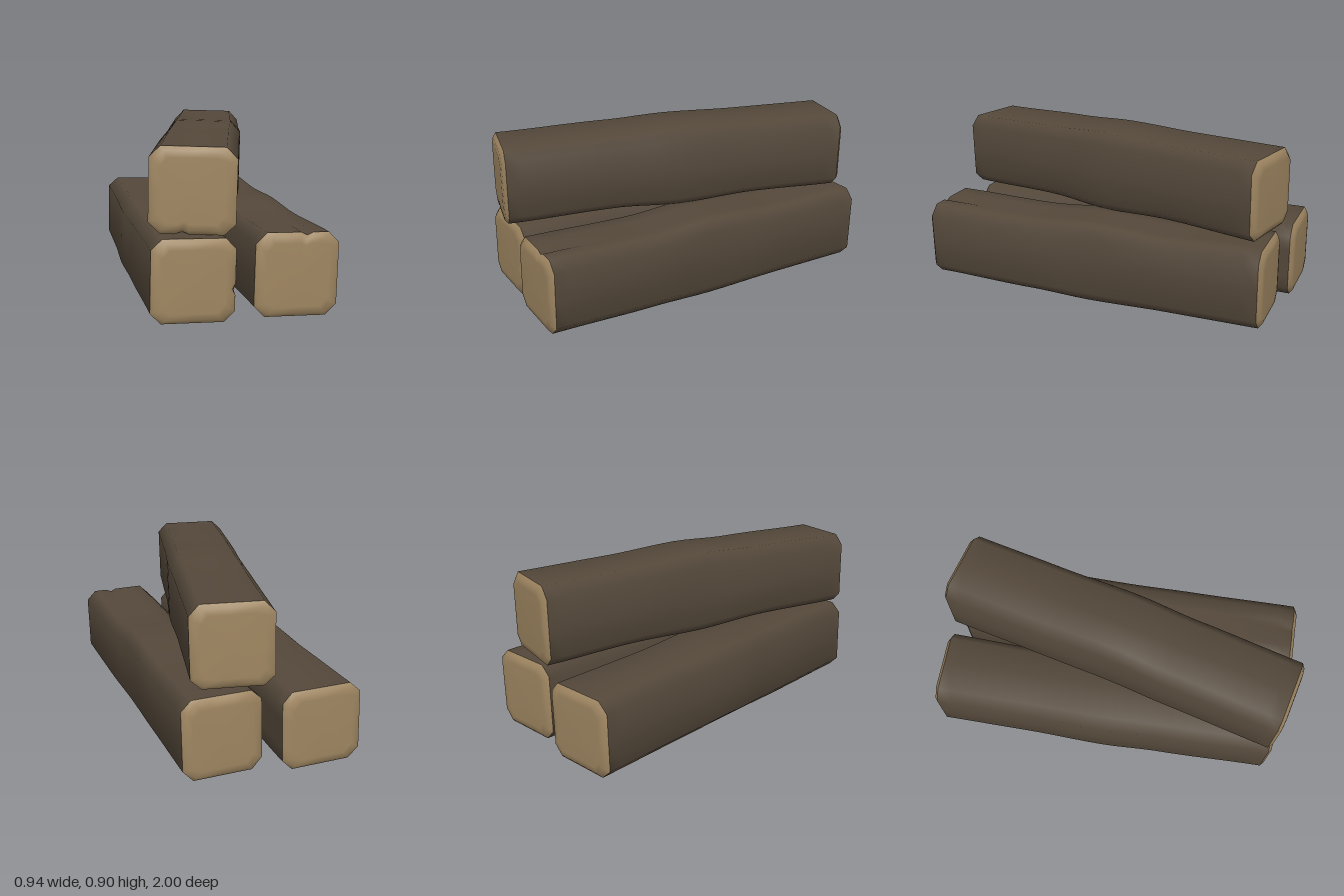
import * as THREE from 'three';

const HALF = 0.205, CORNER = 0.152, END = 0.97, RIM = 0.022;

// Outward swelling of each side at stations along the log
const STATIONS = [-1, -0.46, 0, 0.36, 1];
const SWELL = {
  top: [-0.008, -0.02, -0.002, -0.018, 0],
  bottom: [0.018, 0.02, 0.032, 0.016, 0],
  left: [0, 0.005, 0.015, 0.005, 0],
  right: [0, -0.005, -0.015, -0.003, 0],
};

// Chamfered square, counter-clockwise, with extra points for the split on top
const SECTION = [
  [HALF, -CORNER], [HALF, 0], [HALF, CORNER],
  [CORNER, HALF], [0.075, HALF], [0.045, HALF], [0.015, HALF], [-0.07, HALF], [-CORNER, HALF],
  [-HALF, CORNER], [-HALF, 0], [-HALF, -CORNER],
  [-CORNER, -HALF], [0, -HALF], [CORNER, -HALF],
];

function swell(side, z) {
  const t = THREE.MathUtils.clamp(z / END, -1, 1);
  let i = 0;
  while (i < STATIONS.length - 2 && t > STATIONS[i + 1]) i++;
  const s = THREE.MathUtils.smoothstep(t, STATIONS[i], STATIONS[i + 1]);
  return THREE.MathUtils.lerp(SWELL[side][i], SWELL[side][i + 1], s);
}

// Depth of the drying split near the front end
function groove(x, z) {
  return 0.014 * Math.max(0, 1 - Math.abs(x - 0.045) / 0.03) * THREE.MathUtils.smoothstep(z, 0.55, 0.95);
}

function surfacePoint([x, y], z) {
  const px = x + (x > 0 ? swell('right', z) : swell('left', z)) * x / HALF;
  let py = y + (y > 0 ? swell('top', z) : swell('bottom', z)) * y / HALF;
  if (y === HALF) py -= groove(x, z);
  return [px, py];
}

// Skin closed rings given as [z, scale], running from back to front
function loft(rings) {
  const positions = [], index = [], n = SECTION.length;
  rings.forEach(([z, scale], r) => {
    const cx = (swell('right', z) - swell('left', z)) / 2;
    const cy = (swell('top', z) - swell('bottom', z)) / 2;
    SECTION.forEach((p, i) => {
      const [x, y] = surfacePoint(p, z);
      positions.push(cx + (x - cx) * scale, cy + (y - cy) * scale, z);
      if (r === rings.length - 1) return;
      const a = r * n + i, b = r * n + (i + 1) % n;
      index.push(a, b, b + n, a, b + n, a + n);
    });
  });
  return finish(positions, index);
}

// Thin strip of bare wood lying on the top side; rows are [z, x0, x1]
function splinter(rows) {
  const positions = [], index = [];
  rows.forEach(([z, x0, x1], r) => {
    for (let i = 0; i < 3; i++) {
      const x = THREE.MathUtils.lerp(x0, x1, i / 2);
      const [px, py] = surfacePoint([x, HALF], z);
      positions.push(px, py + 0.004, z);
      if (i === 2 || r === rows.length - 1) continue;
      const a = r * 3 + i;
      index.push(a, a + 1, a + 4, a, a + 4, a + 3);
    }
  });
  return finish(positions, index);
}

function finish(positions, index) {
  const g = new THREE.BufferGeometry();
  g.setAttribute('position', new THREE.Float32BufferAttribute(positions, 3));
  g.setIndex(index);
  g.computeVertexNormals();
  return g;
}

export function createModel() {
  const bark = new THREE.MeshStandardMaterial({ color: 0x54483a });
  bark.name = 'dark bark';
  const wood = new THREE.MeshStandardMaterial({ color: 0xa08762 });
  wood.name = 'cut wood';
  const bareWood = wood;

  // Bark body and rounded sawn ends
  const barkRings = [];
  for (let i = 0; i <= 24; i++) barkRings.push([(END - RIM) * (i / 12 - 1), 1]);
  const frontRings = [[END - RIM, 1], [END - 0.004, 0.9], [END, 0.75], [END, 0]];
  const backRings = frontRings.map(([z, s]) => [-z, s]).reverse();

  const parts = [
    ['bark', loft(barkRings), bark],
    ['frontEnd', loft(frontRings), wood],
    ['backEnd', loft(backRings), wood],
    ['longSplit', splinter([
      [0.52, 0.026, 0.03], [0.58, 0.022, 0.05], [0.68, 0.025, 0.058],
      [0.78, 0.01, 0.062], [0.88, 0.008, 0.066], [0.948, 0.005, 0.088],
    ]), bareWood],
    ['shortSplit', splinter([[0.88, -0.09, -0.075], [0.91, -0.095, -0.066], [0.948, -0.1, -0.062]]), bareWood],
  ];

  // The same log, rolled by quarter turns and stacked
  const model = new THREE.Group();
  model.name = 'logPile';
  const TILT = -0.025;
  const logs = [
    ['lowerLeftLog', [0.26, 0.241, 0.02], 0, 0],
    ['lowerRightLog', [-0.23, 0.22, -0.03], 0, -Math.PI / 2],
    ['upperLog', [-0.018, 0.656, 0.018], -0.233, Math.PI],
  ];
  for (const [name, position, yaw, roll] of logs) {
    const log = new THREE.Group();
    log.name = name;
    for (const [partName, geometry, material] of parts) {
      const mesh = new THREE.Mesh(geometry, material);
      mesh.name = partName;
      log.add(mesh);
    }
    log.position.set(...position);
    log.rotation.set(0, yaw, roll + TILT);
    model.add(log);
  }
  return model;
}
